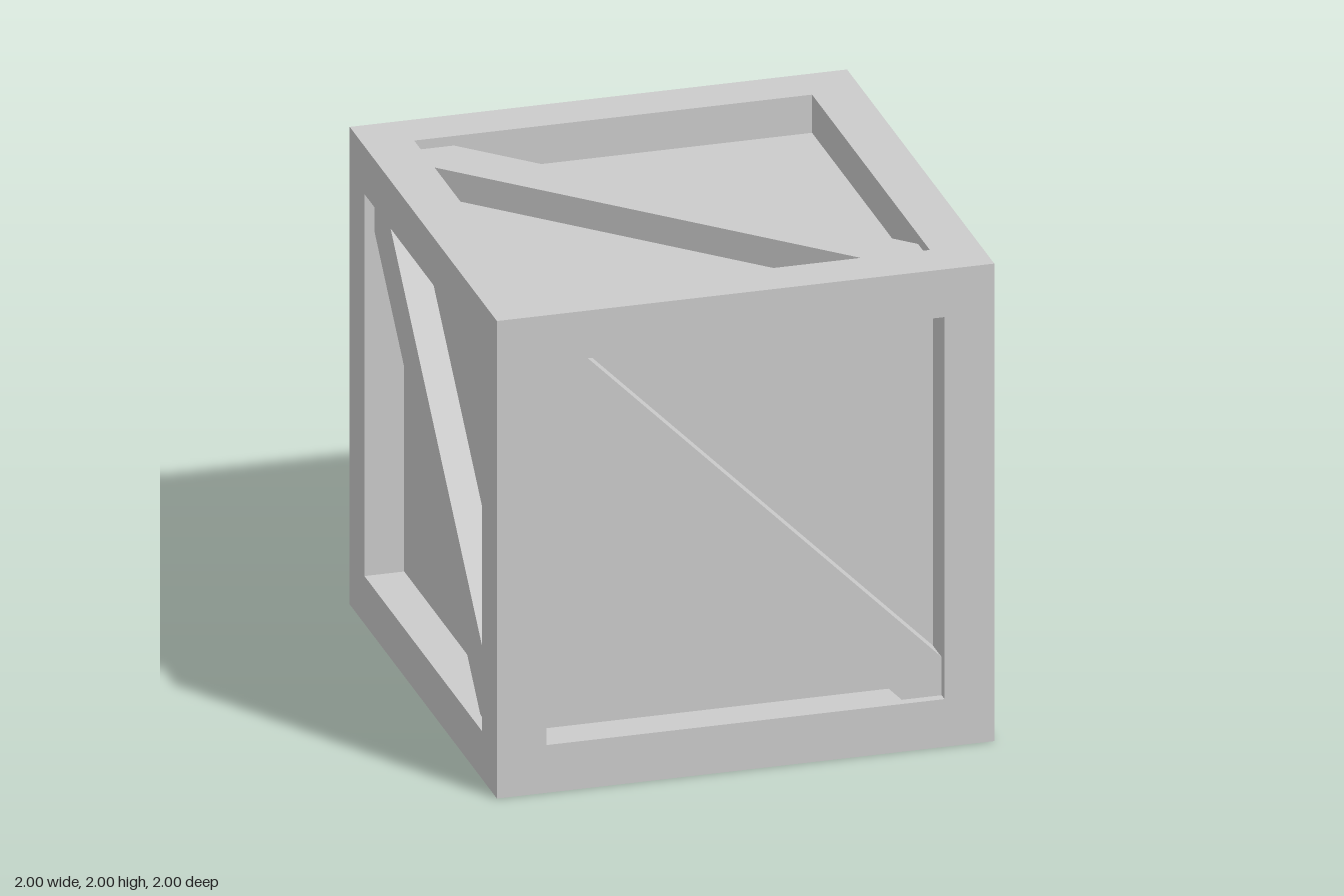
import * as THREE from 'three';

const SIZE = 2, BEAM = 0.2, OPEN = SIZE / 2 - BEAM;  // half width of each opening
const PANEL = 0.84, BRACE = 0.96;                    // distances of panel and brace faces from the centre
const CUT = 0.16;                                    // how far the brace runs along each opening edge

export function createModel() {
  const crate = new THREE.Group();
  crate.name = 'crate';
  const material = new THREE.MeshStandardMaterial({ color: 0xcccccc, flatShading: true });

  const add = (parent, name, geometry, x = 0, y = 0, z = 0) => {
    const mesh = new THREE.Mesh(geometry, material);
    mesh.name = name;
    mesh.position.set(x, y, z);
    parent.add(mesh);
    return mesh;
  };

  // Inner box whose sides are the recessed panels
  add(crate, 'panels', new THREE.BoxGeometry(2 * PANEL, 2 * PANEL, 2 * PANEL), 0, SIZE / 2, 0);

  // Frame: four full-height posts, with rails between them at top and bottom
  const frame = new THREE.Group();
  frame.name = 'frame';
  crate.add(frame);
  const post = new THREE.BoxGeometry(BEAM, SIZE, BEAM);
  const railX = new THREE.BoxGeometry(2 * OPEN, BEAM, BEAM);
  const railZ = new THREE.BoxGeometry(BEAM, BEAM, 2 * OPEN);
  const mid = (SIZE - BEAM) / 2;
  for (const a of [-1, 1]) {
    for (const b of [-1, 1]) {
      add(frame, 'post', post, a * mid, SIZE / 2, b * mid);
      add(frame, 'crossRail', railX, 0, SIZE / 2 + a * mid, b * mid);
      add(frame, 'sideRail', railZ, a * mid, SIZE / 2 + b * mid, 0);
    }
  }

  // Diagonal brace with ends cut to fit the corners of the opening
  const c = OPEN - CUT;
  const outline = new THREE.Shape([
    [-OPEN, OPEN], [-OPEN, c], [c, -OPEN], [OPEN, -OPEN], [OPEN, -c], [-c, OPEN],
  ].map(([x, y]) => new THREE.Vector2(x, y)));
  const brace = new THREE.ExtrudeGeometry(outline, { depth: BRACE - PANEL, bevelEnabled: false });
  brace.translate(0, 0, PANEL);

  // One brace per side, turned about the crate's centre
  const q = Math.PI / 2;
  const turns = {
    front: [0, 0, 0], left: [0, q, 0], back: [0, 2 * q, 0], right: [0, -q, 0],
    top: [-q, 0, 0], bottom: [q, 0, q],
  };
  for (const [side, turn] of Object.entries(turns)) {
    add(crate, `${side}Brace`, brace, 0, SIZE / 2, 0).rotation.set(...turn);
  }
  return crate;
}
